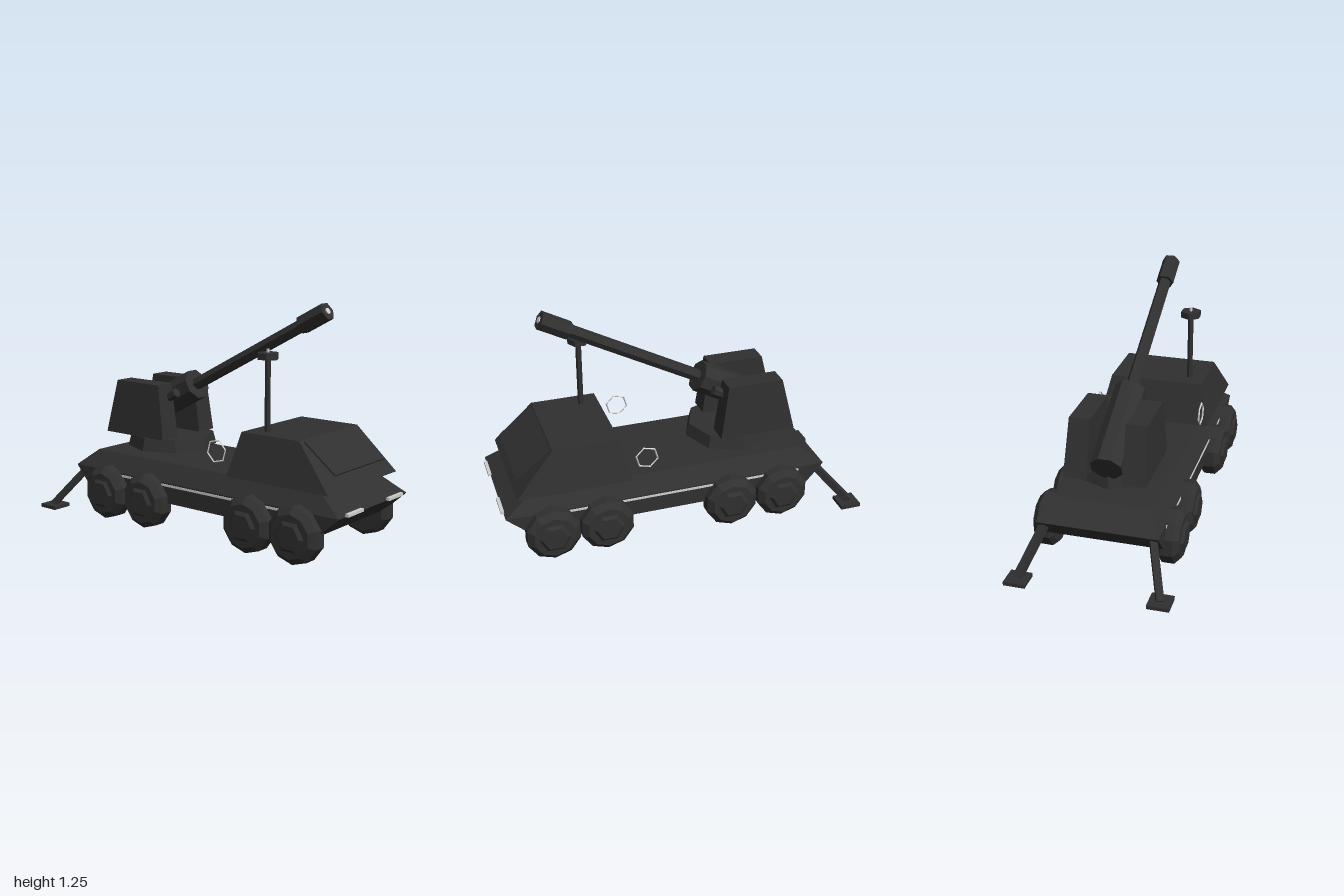
import * as THREE from 'three';

const armour = new THREE.MeshStandardMaterial({ color: 0x303030 });
armour.name = 'dark armour';
const light = new THREE.MeshStandardMaterial({ color: 0xd0d0d0 });
light.name = 'light trim';

// Facet a geometry with hard edges
function flat(geometry) {
  const g = geometry.index ? geometry.toNonIndexed() : geometry;
  g.computeVertexNormals();
  return g;
}

function add(parent, name, geometry, material = armour) {
  const mesh = new THREE.Mesh(flat(geometry), material);
  mesh.name = name;
  parent.add(mesh);
  return mesh;
}

function box(parent, name, size, pos, material) {
  const mesh = add(parent, name, new THREE.BoxGeometry(...size), material);
  mesh.position.set(...pos);
  return mesh;
}

// Solid from stacked rectangles, each [y, xMin, xMax, zMin, zMax], bottom first
function stack(rings) {
  const pos = [], idx = [];
  for (const [y, x0, x1, z0, z1] of rings) pos.push(x0, y, z1, x1, y, z1, x1, y, z0, x0, y, z0);
  for (let r = 0; r < rings.length - 1; r++) {
    for (let i = 0; i < 4; i++) {
      const a = r * 4 + i, b = r * 4 + (i + 1) % 4;
      idx.push(a, b, b + 4, a, b + 4, a + 4);
    }
  }
  const t = (rings.length - 1) * 4;
  idx.push(0, 2, 1, 0, 3, 2, t, t + 1, t + 2, t, t + 2, t + 3);
  const g = new THREE.BufferGeometry();
  g.setAttribute('position', new THREE.Float32BufferAttribute(pos, 3));
  g.setIndex(idx);
  return g;
}

// Box beam between two points
function beam(parent, name, from, to, width) {
  const a = new THREE.Vector3(...from), b = new THREE.Vector3(...to);
  const mesh = add(parent, name, new THREE.BoxGeometry(width, width, a.distanceTo(b)));
  mesh.position.copy(a).lerp(b, 0.5);
  mesh.lookAt(b);
  return mesh;
}

function makeWheel(side) {
  const wheel = new THREE.Group();
  wheel.name = 'wheel';
  // Chamfered tyre
  const profile = [[0, 0], [0.125, 0], [0.148, 0.02], [0.148, 0.085], [0.115, 0.115], [0, 0.115]]
    .map(([x, y]) => new THREE.Vector2(x, y));
  add(wheel, 'tyre', new THREE.LatheGeometry(profile, 10, Math.PI / 10));
  // Hexagonal hub
  const hub = add(wheel, 'hub', new THREE.CylinderGeometry(0.068, 0.088, 0.016, 6));
  hub.position.y = 0.122;
  wheel.rotation.z = -side * Math.PI / 2;
  return wheel;
}

// Gun modelled along +z, origin at the front of the cradle
function makeGun() {
  const gun = new THREE.Group();
  gun.name = 'gun';
  const tube = (name, radius, sides, z0, z1, x = 0, y = 0, material = armour, turn = 0) => {
    const g = new THREE.CylinderGeometry(radius, radius, z1 - z0, sides, 1, false, turn).rotateX(Math.PI / 2);
    add(gun, name, g, material).position.set(x, y, (z0 + z1) / 2);
  };
  tube('cradle', 0.087, 8, -0.51, 0, 0, 0, armour, Math.PI / 8);
  tube('barrel', 0.035, 6, -0.02, 0.82, 0, 0, armour, Math.PI / 6);
  tube('muzzleBrake', 0.05, 6, 0.795, 0.965, 0, 0, armour, Math.PI / 6);
  tube('bore', 0.018, 6, 0.96, 0.97, 0, 0, light, Math.PI / 6);
  for (const s of [-1, 1]) tube('recoilCylinder', 0.027, 6, -0.2, -0.06, s * 0.118, -0.012);
  gun.position.set(0, 0.765, -0.165);
  gun.rotation.x = -28 * Math.PI / 180;
  return gun;
}

export function createModel() {
  const model = new THREE.Group();
  model.name = 'selfPropelledGun';

  // Hull and cab
  add(model, 'hull', stack([
    [0.16, -0.32, 0.32, -0.70, 0.86],
    [0.272, -0.32, 0.32, -0.80, 0.985],
    [0.367, -0.26, 0.26, -0.68, 0.84],
  ]));
  add(model, 'cab', stack([
    [0.375, -0.32, 0.32, 0.30, 0.92],
    [0.605, -0.265, 0.265, 0.355, 0.71],
  ]));

  // Windscreen shutter hinged out from the sloped cab front
  const shutter = box(model, 'windscreenShutter', [0.465, 0.008, 0.23], [0, 0.526, 0.81]);
  shutter.rotation.x = Math.atan2(0.14, 0.18);

  // Sensor mast on the cab roof
  const mast = new THREE.Group();
  mast.name = 'sensorMast';
  mast.position.set(-0.176, 0, 0.452);
  model.add(mast);
  add(mast, 'mastPole', new THREE.CylinderGeometry(0.016, 0.016, 0.4, 6)).position.y = 0.79;
  add(mast, 'mastHead', new THREE.CylinderGeometry(0.058, 0.058, 0.034, 6)).position.y = 0.993;
  add(mast, 'mastTip', new THREE.CylinderGeometry(0.009, 0.009, 0.02, 6), light).position.y = 1.02;

  // Parts repeated on both sides
  for (const s of [-1, 1]) {
    for (const z of [0.745, 0.455, -0.245, -0.54]) {
      const wheel = makeWheel(s);
      wheel.position.set(s * 0.275, 0.155, z);
      model.add(wheel);
    }
    box(model, 'sideStripe', [0.006, 0.012, 1.4], [s * 0.321, 0.258, 0.05], light);
    box(model, 'headlight', [0.14, 0.016, 0.018], [s * 0.19, 0.279, 0.99], light);

    const ring = add(model, 'sideRing', new THREE.TorusGeometry(0.061, 0.005, 4, 6), light);
    ring.position.set(s * 0.298, 0.49, 0.217);
    ring.rotation.set(0, Math.PI / 2, -14 * Math.PI / 180);

    // Rear stabiliser leg and foot
    beam(model, 'stabiliserLeg', [s * 0.27, 0.28, -0.73], [s * 0.37, 0.025, -0.95], 0.038);
    box(model, 'stabiliserFoot', [0.115, 0.02, 0.115], [s * 0.37, 0.015, -0.9425]);

    // Armoured cheek beside the gun
    const [a, b, c] = [0.093, 0.217, 0.203];
    const span = (outer) => (s > 0 ? [a, outer] : [-outer, -a]);
    add(model, 'turretCheek', stack([
      [0.47, ...span(b), -0.655, -0.23],
      [0.77, ...span(c), -0.58, -0.272],
    ]));
  }

  // Turret ring and gun
  add(model, 'turretRing', new THREE.CylinderGeometry(0.232, 0.25, 0.07, 8)).position.set(0, 0.435, -0.35);
  model.add(makeGun());

  return model;
}
